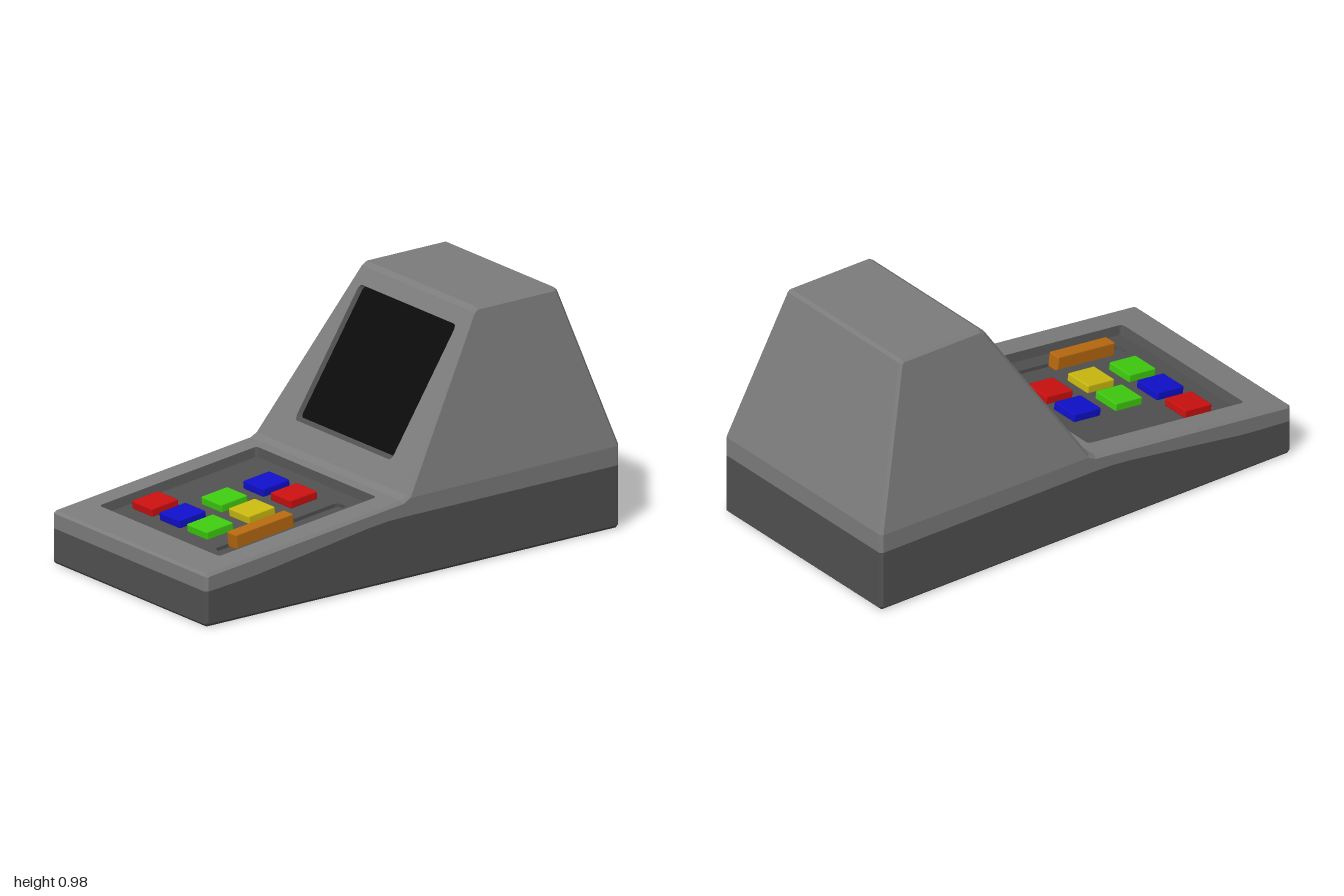
import * as THREE from 'three';
import { RoundedBoxGeometry } from 'three/addons/geometries/RoundedBoxGeometry.js';

const mat = (name, color) => Object.assign(new THREE.MeshStandardMaterial({ color }), { name });
const V2 = (x, y) => new THREE.Vector2(x, y);
const V3 = (x, y, z) => new THREE.Vector3(x, y, z);

// Add one triangle, wound to face the given outward direction
function tri(soup, a, b, c, out) {
  const n = b.clone().sub(a).cross(c.clone().sub(a));
  for (const p of n.dot(out) < 0 ? [a, c, b] : [a, b, c]) soup.push(p.x, p.y, p.z);
}
function quad(soup, a, b, c, d, out) {
  tri(soup, a, b, c, out);
  tri(soup, a, c, d, out);
}
// Fill a 2D outline with optional holes, placed in space by map
function fill(soup, outer, holes, map, out) {
  const pts = [...outer, ...holes.flat()].map(map);
  for (const [a, b, c] of THREE.ShapeUtils.triangulateShape(outer, holes)) tri(soup, pts[a], pts[b], pts[c], out);
}
function roundedRect(x0, x1, z0, z1, r, n = 4) {
  const pts = [];
  [[x1 - r, z1 - r], [x0 + r, z1 - r], [x0 + r, z0 + r], [x1 - r, z0 + r]].forEach(([cx, cz], k) => {
    for (let i = 0; i <= n; i++) {
      const a = (k + i / n) * Math.PI / 2;
      pts.push(V2(cx + r * Math.cos(a), cz + r * Math.sin(a)));
    }
  });
  return pts;
}

export function createModel() {
  const group = new THREE.Group();
  const mats = {
    shell: mat('shell grey', 0x7c7c7c), base: mat('base grey', 0x515151), screen: mat('screen black', 0x0b0b0b),
    red: mat('red', 0xcc1010), blue: mat('blue', 0x1010cc), green: mat('green', 0x3fcc10),
    yellow: mat('yellow', 0xccbb10), orange: mat('orange', 0xb86a10),
  };
  const addSoup = (name, soup, material) => {
    const g = new THREE.BufferGeometry();
    g.setAttribute('position', new THREE.Float32BufferAttribute(soup, 3));
    g.computeVertexNormals();
    const mesh = new THREE.Mesh(g, material);
    mesh.name = name;
    group.add(mesh);
  };

  // Side outline: up the low end, over the deck and hood, back along the bottom
  const P = [[-1, 0.145], [-1, 0.205], [-0.988, 0.215], [-0.05, 0.32], [-0.02, 0.335], [0.388, 0.965],
    [0.41, 0.98], [0.79, 0.98], [0.803, 0.968], [1, 0.335], [1, 0.255], [1, 0.012], [0.988, 0],
    [-0.988, 0], [-1, 0.012]].map(p => V2(...p));
  const N = P.length, DECK = 2, SLOPE = 4, SPLIT = 10, bevel = 0.012;
  const halfWidth = y => 0.49 - 0.209 * Math.max(0, y - 0.335);
  const normals = P.map((p, i) => {
    const d = P[(i + 1) % N].clone().sub(p).normalize();
    return V2(-d.y, d.x);
  });
  // Inset copy of the outline for the bevelled side edges
  const Q = P.map((p, i) => {
    const a = normals[(i + N - 1) % N], b = normals[i];
    return p.clone().addScaledVector(a.clone().add(b), -bevel / (1 + a.dot(b)));
  });
  const shell = [], base = [], panel = [], screen = [];

  // Faces across the width and bevels along both edges
  for (let i = 0; i < N; i++) {
    const j = (i + 1) % N, soup = i < SPLIT ? shell : base;
    const edge = (k, s) => V3(P[k].x, P[k].y, s * (halfWidth(P[k].y) - bevel));
    const side = (k, s) => V3(Q[k].x, Q[k].y, s * halfWidth(Q[k].y));
    const n = normals[i];
    if (i !== DECK && i !== SLOPE) quad(soup, edge(i, 1), edge(j, 1), edge(j, -1), edge(i, -1), V3(n.x, n.y, 0));
    for (const s of [1, -1]) quad(soup, edge(i, s), edge(j, s), side(j, s), side(i, s), V3(n.x, n.y, s));
  }

  // Side walls: lower shell, tapered hood, and base below the colour line
  const line = [V2(-0.03, 0.255), V2(-0.12, 0.253), V2(-0.22, 0.243), V2(-0.75, 0.166), V2(-0.85, 0.156)];
  for (const s of [1, -1]) {
    const map = p => V3(p.x, p.y, s * halfWidth(p.y)), out = V3(0, 0, s);
    fill(shell, [...Q.slice(0, 5), Q[9], Q[10], ...line], [], map, out);
    fill(shell, Q.slice(4, 10), [], map, out);
    fill(base, [...Q.slice(10), Q[0], ...line.slice().reverse()], [], map, out);
  }

  // Sloping plane of one outline segment: (x, z) at a depth below it
  const plane = i => {
    const a = P[i], b = P[i + 1], n = normals[i], m = (b.y - a.y) / (b.x - a.x);
    const at = depth => p => V3(p.x - n.x * depth, a.y + (p.x - a.x) * m - n.y * depth, p.y);
    const wa = halfWidth(a.y) - bevel, wb = halfWidth(b.y) - bevel;
    return { at, out: V3(n.x, n.y, 0), outer: [V2(a.x, -wa), V2(b.x, -wb), V2(b.x, wb), V2(a.x, wa)], angle: Math.atan(m) };
  };
  // Walls of a recess between two matching loops
  function walls(soup, pl, top, d0, bottom, d1) {
    const t = top.map(pl.at(d0)), b = bottom.map(pl.at(d1));
    const mid = t.reduce((s, p) => s.add(p), V3(0, 0, 0)).divideScalar(t.length);
    t.forEach((p, i) => {
      const j = (i + 1) % t.length;
      quad(soup, p, t[j], b[j], b[i], mid.clone().sub(p));
    });
  }

  // Deck with its sunken control panel and lever slot
  const deck = plane(DECK), floor = 0.035;
  const rim = roundedRect(-0.85, -0.09, -0.387, 0.377, 0.015);
  const inner = roundedRect(-0.838, -0.102, -0.375, 0.365, 0.012);
  const slot = roundedRect(-0.77, -0.175, 0.235, 0.297, 0.022);
  fill(shell, deck.outer, [rim], deck.at(0), deck.out);
  walls(panel, deck, rim, 0, inner, floor);
  fill(panel, inner, [slot], deck.at(floor), deck.out);
  walls(panel, deck, slot, floor, slot, floor + 0.015);
  fill(panel, slot, [], deck.at(floor + 0.015), deck.out);

  // Hood slope with its sunken screen
  const slope = plane(SLOPE);
  const frame = roundedRect(0.035, 0.35, -0.31, 0.305, 0.015);
  const glass = roundedRect(0.046, 0.35, -0.299, 0.294, 0.012);
  fill(shell, slope.outer, [frame], slope.at(0), slope.out);
  walls(panel, slope, frame, 0, glass, 0.015);
  fill(screen, glass, [], slope.at(0.015), slope.out);

  addSoup('upperShell', shell, mats.shell);
  addSoup('base', base, mats.base);
  addSoup('controlPanelAndScreenRim', panel, mats.base);
  addSoup('screen', screen, mats.screen);

  // Raised controls on the panel
  const control = (name, x, z, size, depth, material) => {
    const mesh = new THREE.Mesh(new RoundedBoxGeometry(...size, 1, 0.006), material);
    mesh.position.copy(deck.at(depth)(V2(x, z)));
    mesh.rotation.z = deck.angle;
    mesh.name = name;
    group.add(mesh);
  };
  const rows = [['red'], ['blue', 'green', 'blue'], ['green', 'yellow', 'red']];
  rows.forEach((row, r) => row.forEach((c, k) =>
    control(c + 'Button', -0.67 + k * 0.202, -0.27 + r * 0.175, [0.13, 0.036, 0.13], 0.02, mats[c])));
  control('slideLever', -0.567, 0.266, [0.28, 0.065, 0.06], 0.0145, mats.orange);

  return group;
}
